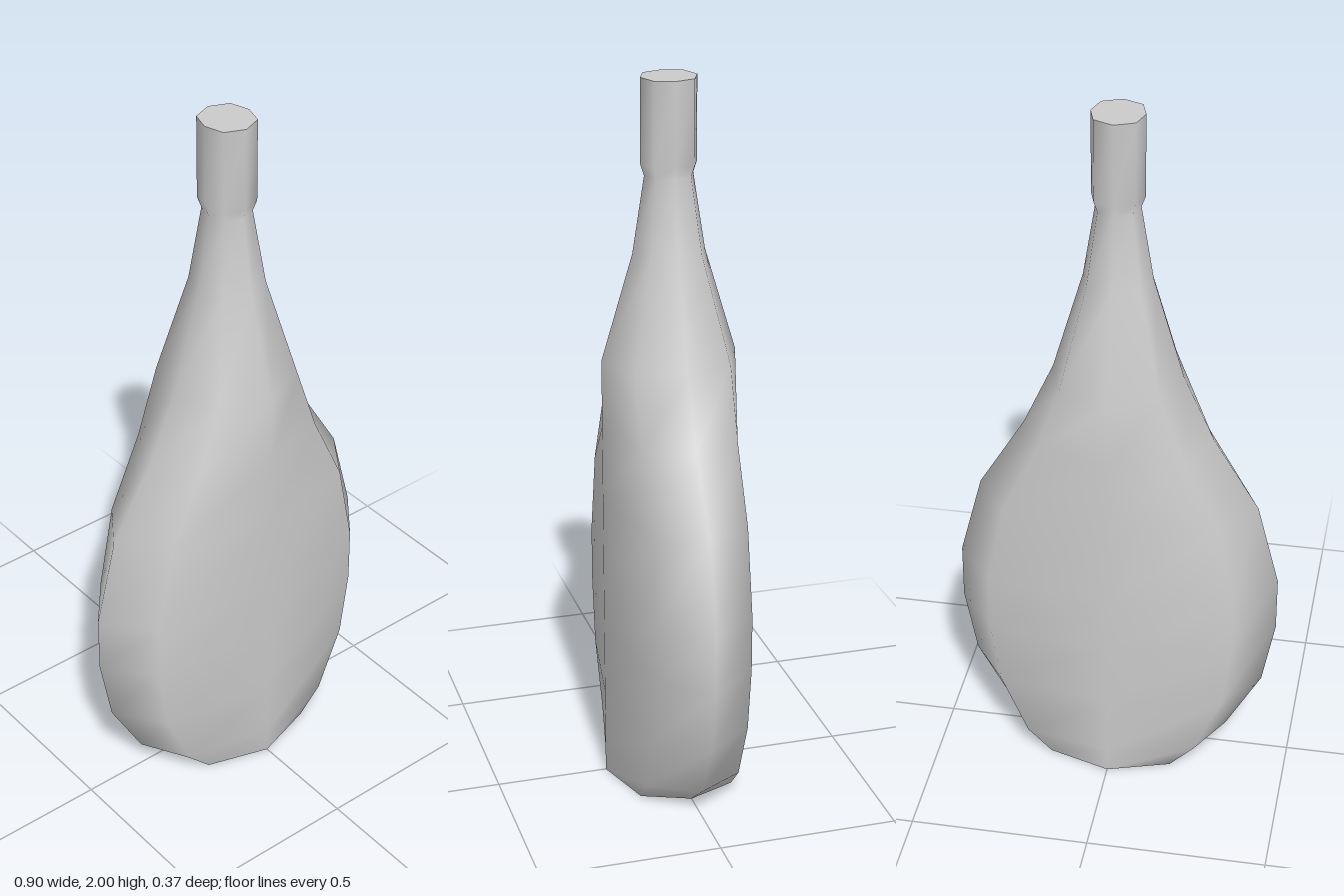
import * as THREE from 'three';

// Loft profile: [height, half width, half depth]
const SECTIONS = [
  [0, 0.228, 0.187], [0.07, 0.318, 0.187], [0.25, 0.417, 0.187], [0.44, 0.452, 0.187],
  [0.6, 0.452, 0.187], [0.84, 0.39, 0.187], [1.05, 0.263, 0.187], [1.24, 0.178, 0.187],
  [1.53, 0.094, 0.1], [1.74, 0.06, 0.067], [1.77, 0.071, 0.077], [2, 0.071, 0.077],
];

// Eight corners around a section, running from +x towards +z
const CORNERS = [
  [1, 0], [0.765, 0.707], [0, 1], [-0.765, 0.707],
  [-1, 0], [-0.765, -0.707], [0, -1], [0.765, -0.707],
];

const ring = ([y, w, d]) => CORNERS.flatMap(([x, z]) => [x * w, y, z * d]);

function makeMesh(name, positions, index, material) {
  const geometry = new THREE.BufferGeometry();
  geometry.setAttribute('position', new THREE.Float32BufferAttribute(positions, 3));
  geometry.setIndex(index);
  geometry.computeVertexNormals();
  const mesh = new THREE.Mesh(geometry, material);
  mesh.name = name;
  return mesh;
}

// Smooth wall joining neighbouring sections
function makeWall(name, sections, material) {
  const n = CORNERS.length;
  const index = [];
  for (let s = 0; s < sections.length - 1; s++) {
    for (let i = 0; i < n; i++) {
      const a = s * n + i;
      const b = s * n + (i + 1) % n;
      index.push(a, a + n, b, b, a + n, b + n);
    }
  }
  return makeMesh(name, sections.flatMap(ring), index, material);
}

// Flat end face with its own normals
function makeCap(name, section, up, material) {
  const index = [];
  for (let i = 1; i < CORNERS.length - 1; i++) {
    index.push(0, ...(up ? [i + 1, i] : [i, i + 1]));
  }
  return makeMesh(name, ring(section), index, material);
}

export function createModel() {
  const material = new THREE.MeshStandardMaterial({ color: 0xcccccc });
  const bottle = new THREE.Group();
  bottle.name = 'bottle';
  bottle.add(
    makeWall('bodyAndNeck', SECTIONS, material),
    makeCap('base', SECTIONS[0], false, material),
    makeCap('neckTop', SECTIONS[SECTIONS.length - 1], true, material),
  );
  return bottle;
}
